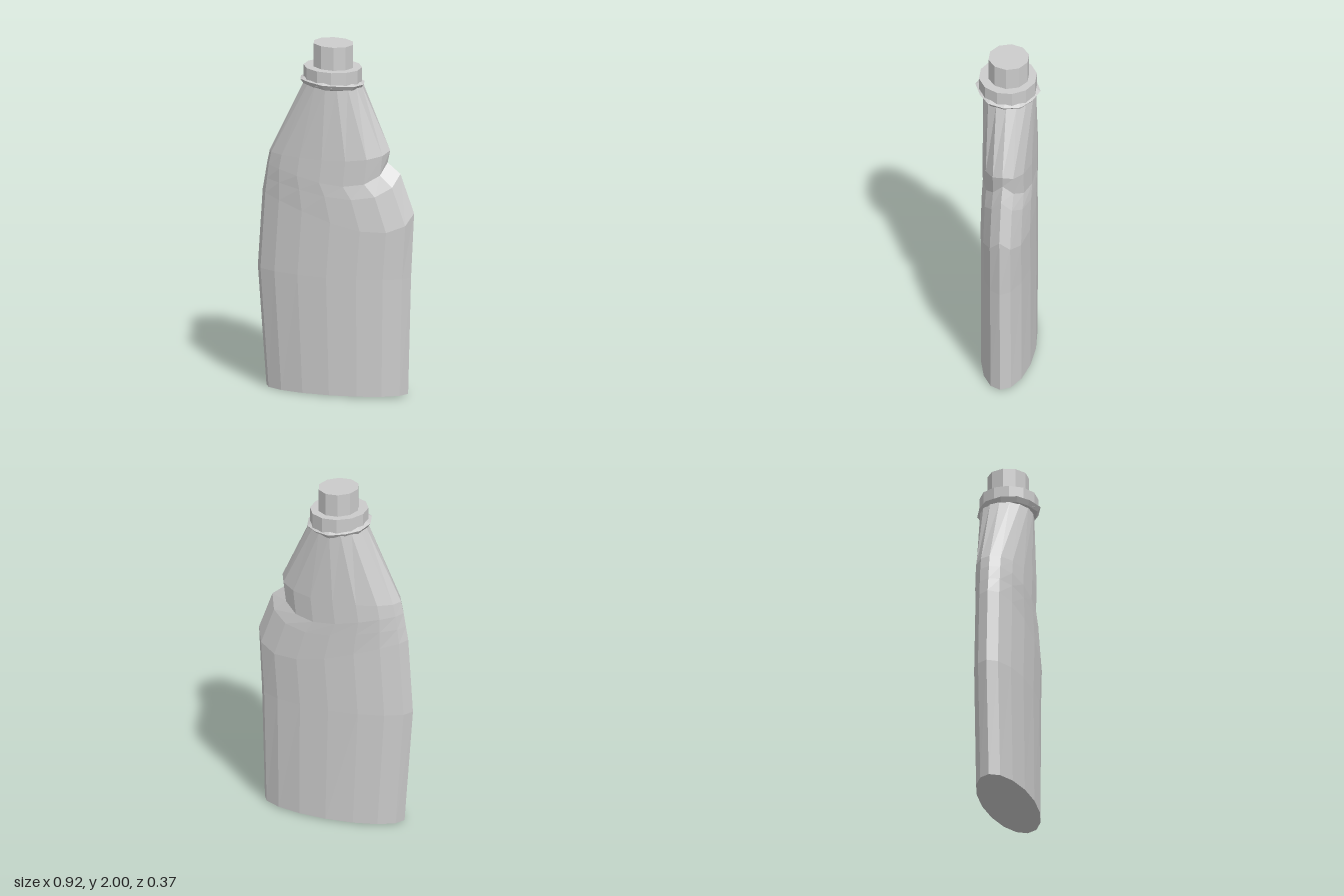
import * as THREE from 'three';

const SIDES = 16;
const material = new THREE.MeshStandardMaterial({ color: 0xcccccc, flatShading: true });

function addMesh(group, name, geometry) {
  const mesh = new THREE.Mesh(geometry, material);
  mesh.name = name;
  group.add(mesh);
  return mesh;
}

// Elliptical rings: [y at -x edge, y at +x edge, min x, max x, dip across the faces]
const rings = [
  [0.0, 0.01, -0.41, 0.42, 0],
  [0.68, 0.68, -0.46, 0.437, 0],
  [1.12, 1.05, -0.432, 0.455, 0.18],
  [1.20, 1.27, -0.418, 0.375, 0.18],
  [1.28, 1.33, -0.405, 0.30, 0.17],
  [1.35, 1.40, -0.39, 0.315, 0.05],
  [1.77, 1.76, -0.185, 0.15, 0],
];

function bodyGeometry() {
  const positions = [];
  const index = [];
  for (const [yL, yR, xL, xR, dip] of rings) {
    for (let j = 0; j < SIDES; j++) {
      const a = (j / SIDES) * Math.PI * 2;
      const t = (1 + Math.cos(a)) / 2;
      positions.push(
        xL + (xR - xL) * t,
        yL + (yR - yL) * t - dip * t * Math.abs(Math.sin(a)),
        -0.01 + 0.15 * Math.sin(a),
      );
    }
  }
  for (let i = 0; i < rings.length - 1; i++) {
    for (let j = 0; j < SIDES; j++) {
      const k = (j + 1) % SIDES;
      const a = i * SIDES + j, b = i * SIDES + k;
      index.push(a, a + SIDES, b, b, a + SIDES, b + SIDES);
    }
  }
  // Flat base and closed neck
  const top = (rings.length - 1) * SIDES;
  for (let j = 1; j < SIDES - 1; j++) {
    index.push(0, j, j + 1, top, top + j + 1, top + j);
  }
  const geometry = new THREE.BufferGeometry();
  geometry.setAttribute('position', new THREE.Float32BufferAttribute(positions, 3));
  geometry.setIndex(index);
  geometry.computeVertexNormals();
  return geometry;
}

// Turned part whose height falls slightly towards +x
function turned(profile, sides, slope, phase = 0) {
  const points = profile.map(([r, y]) => new THREE.Vector2(r, y));
  const geometry = new THREE.LatheGeometry(points, sides, phase);
  const p = geometry.attributes.position;
  for (let i = 0; i < p.count; i++) p.setY(i, p.getY(i) - slope * p.getX(i));
  geometry.computeVertexNormals();
  return geometry;
}

export function createModel() {
  const group = new THREE.Group();
  addMesh(group, 'bottleBody', bodyGeometry());

  // Thin flared neck ring, drawn out to a point at the front
  const lip = turned([[0.13, 1.745], [0.165, 1.757], [0.183, 1.782], [0.15, 1.797], [0, 1.797]], 12, 0.07);
  const p = lip.attributes.position;
  for (let i = 0; i < p.count; i++) {
    const x = p.getX(i), z = p.getZ(i);
    p.setY(i, p.getY(i) + 0.05 * z);
    if (Math.abs(x) > 0.05 && Math.abs(z) > 0.12) p.setZ(i, z * 0.92);
  }
  lip.computeVertexNormals();
  addMesh(group, 'neckRing', lip).position.x = -0.02;

  const collar = addMesh(group, 'capCollar',
    turned([[0, 1.775], [0.163, 1.775], [0.163, 1.863], [0, 1.863]], 12, 0.04, Math.PI / 12));
  collar.position.x = -0.018;

  const cap = addMesh(group, 'cap',
    turned([[0, 1.85], [0.115, 1.85], [0.115, 1.995], [0, 1.995]], 10, 0.04, Math.PI / 10));
  cap.position.set(-0.016, 0, -0.005);

  return group;
}
